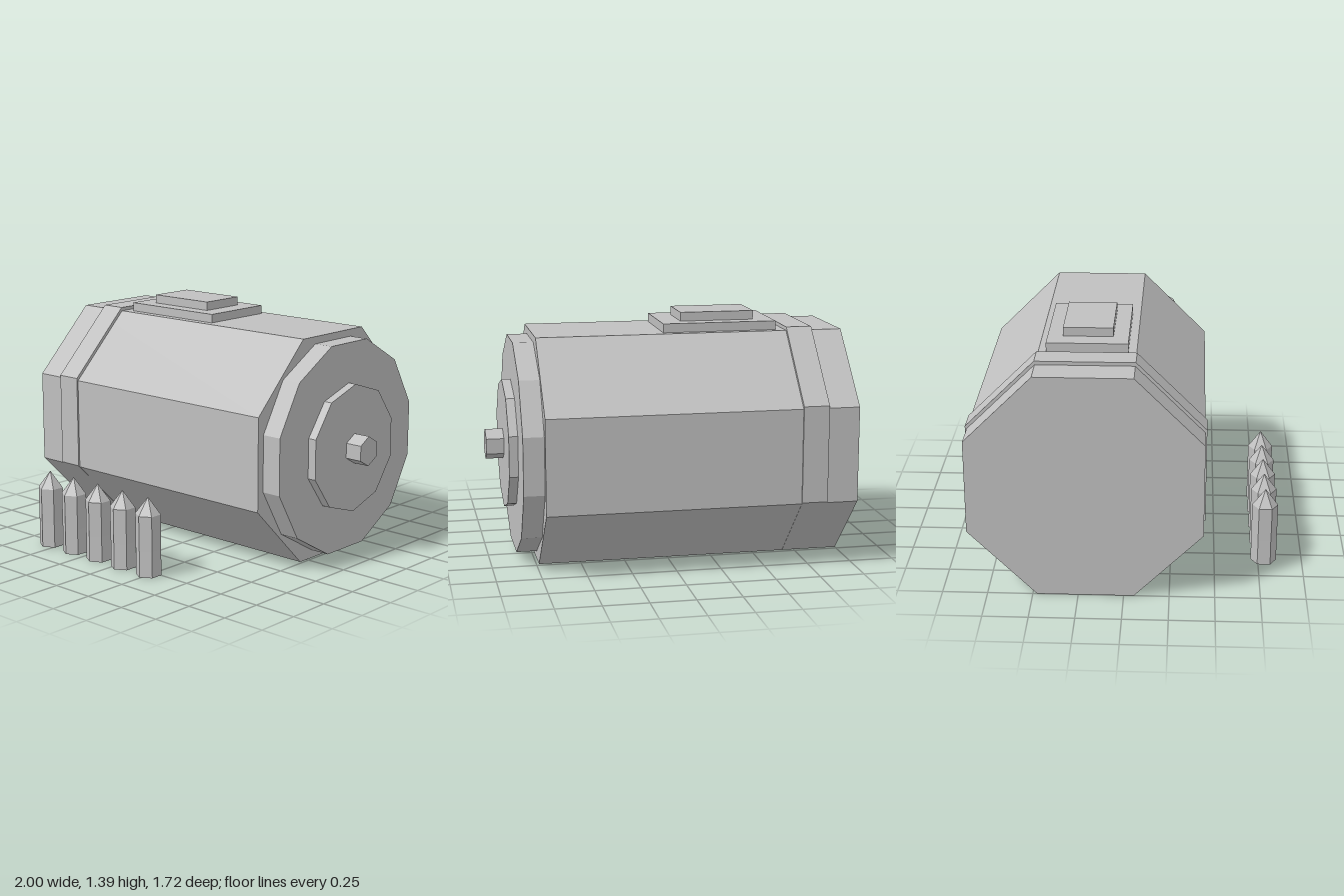
import * as THREE from 'three';

export function createModel() {
  const model = new THREE.Group();
  const grey = new THREE.MeshStandardMaterial({ color: 0xc0c0c0, flatShading: true });
  grey.name = 'grey';
  const axisZ = -0.21;

  function add(parent, name, geometry, x, y, z) {
    const mesh = new THREE.Mesh(geometry, grey);
    mesh.name = name;
    mesh.position.set(x, y, z);
    parent.add(mesh);
  }

  // Prism lying along x, between x0 and x1
  function prism(name, sides, radius, x0, x1, y) {
    const g = new THREE.CylinderGeometry(radius, radius, x1 - x0, sides, 1, false, Math.PI / sides);
    g.rotateZ(-Math.PI / 2);
    add(model, name, g, (x0 + x1) / 2, y, axisZ);
  }

  // Drum, raised band and stepped end cap
  prism('drumBody', 8, 0.696, -1, 0.735, 0.643);
  prism('drumBand', 8, 0.706, -0.825, -0.68, 0.654);
  prism('endCap', 12, 0.621, 0.735, 0.85, 0.645);
  prism('endDisc', 10, 0.37, 0.85, 0.9, 0.645);
  prism('endKnob', 6, 0.086, 0.9, 1, 0.645);

  // Stepped hatch on top
  add(model, 'hatchBase', new THREE.BoxGeometry(0.645, 0.05, 0.445), -0.307, 1.311, -0.212);
  add(model, 'hatchLid', new THREE.BoxGeometry(0.42, 0.05, 0.275), -0.31, 1.361, -0.212);

  // Row of pointed rounds standing in front
  for (let i = 0; i < 5; i++) {
    const round = new THREE.Group();
    round.name = 'round' + (i + 1);
    round.position.set(-0.555 + i * 0.199, 0, 0.782);
    add(round, 'roundCasing', new THREE.CylinderGeometry(0.071, 0.074, 0.2, 6), 0, 0.1, 0);
    add(round, 'roundBody', new THREE.CylinderGeometry(0.073, 0.073, 0.2, 6), 0, 0.25, 0);
    add(round, 'roundTip', new THREE.ConeGeometry(0.073, 0.097, 6), 0, 0.3985, 0);
    model.add(round);
  }
  return model;
}
